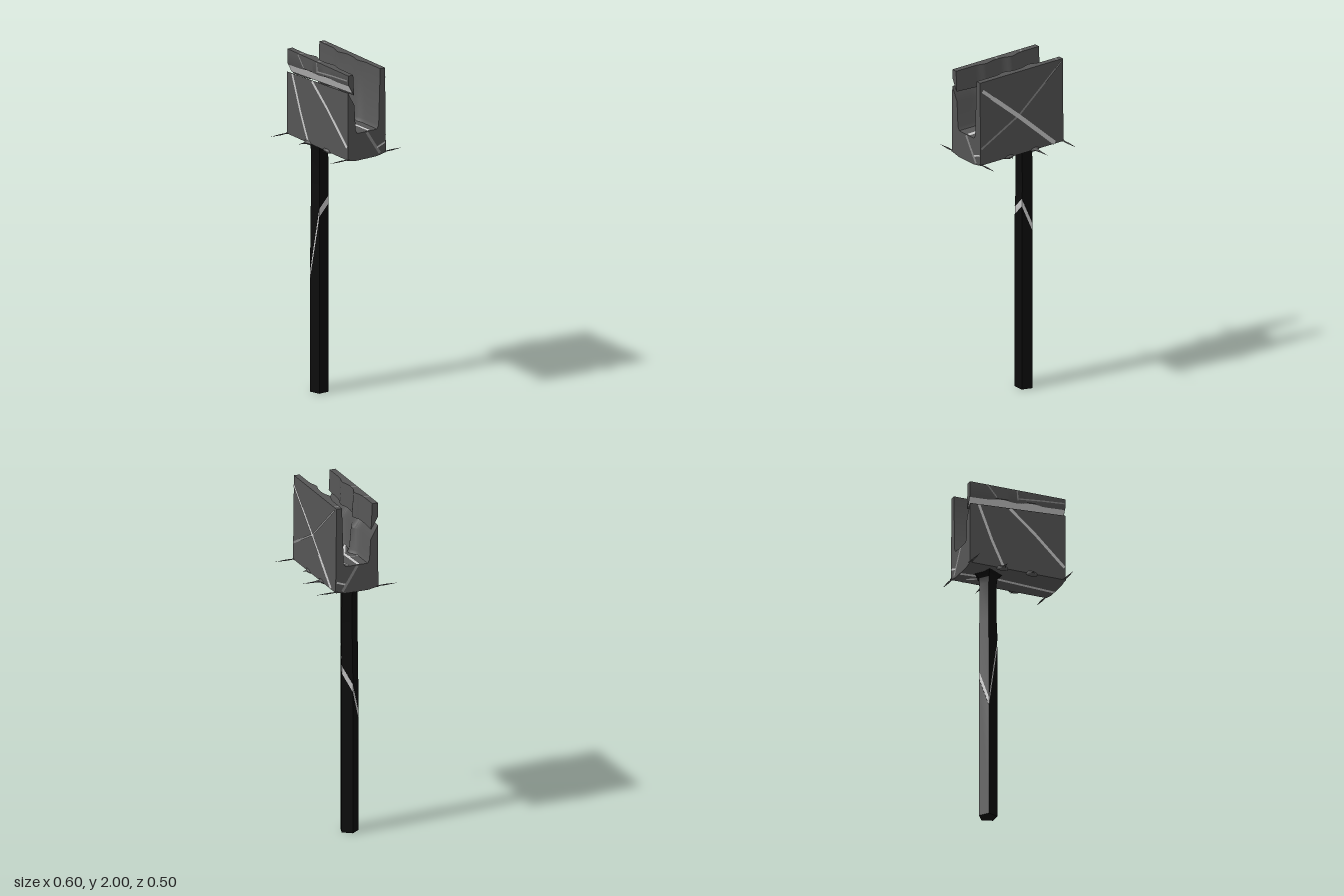
import * as THREE from 'three';
import { toCreasedNormals } from 'three/addons/utils/BufferGeometryUtils.js';

const stone = new THREE.MeshStandardMaterial({ color: 0x555555, side: THREE.DoubleSide });
const wood = new THREE.MeshStandardMaterial({ color: 0x0c0c0c, side: THREE.DoubleSide });
const vein = new THREE.MeshStandardMaterial({ color: 0xcccccc, side: THREE.DoubleSide });
const faintVein = new THREE.MeshStandardMaterial({ color: 0x888888, side: THREE.DoubleSide });
const V = (x, y, z) => new THREE.Vector3(x, y, z);

function part(group, name, geometry, material) {
  const mesh = new THREE.Mesh(geometry, material);
  mesh.name = name;
  group.add(mesh);
  return mesh;
}

// Solid through matching rings of points; cap is the 2D outline used to close both ends
function loft(rings, cap, crease = 0.6) {
  const n = rings[0].length, flat = rings.flat(), idx = [];
  for (let i = 0; i < rings.length - 1; i++) {
    for (let j = 0; j < n; j++) {
      const a = i * n + j, b = i * n + (j + 1) % n;
      idx.push(a, b, a + n, b, b + n, a + n);
    }
  }
  // Sorted corners follow the direction of the ring
  const end = (rings.length - 1) * n;
  for (const tri of THREE.ShapeUtils.triangulateShape(cap, [])) {
    const [a, b, c] = tri.sort((p, q) => p - q);
    idx.push(a, c, b, end + a, end + b, end + c);
  }
  // Turn the faces outward if the enclosed volume is negative
  let volume = 0;
  for (let k = 0; k < idx.length; k += 3) {
    volume += flat[idx[k]].dot(flat[idx[k + 1]].clone().cross(flat[idx[k + 2]]));
  }
  if (volume < 0) idx.reverse();
  const g = new THREE.BufferGeometry().setFromPoints(flat);
  g.setIndex(idx);
  return toCreasedNormals(g, crease);
}

// Flat strip along a path lying on a surface with the given normal
function ribbon(points, normal, width) {
  const pos = [], idx = [];
  points.forEach((p, i) => {
    const dir = points[Math.min(i + 1, points.length - 1)].clone().sub(points[Math.max(i - 1, 0)]);
    const side = normal.clone().cross(dir).normalize().multiplyScalar(width / 2);
    pos.push(p.clone().add(side), p.clone().sub(side));
    if (i) idx.push(2 * i - 2, 2 * i, 2 * i - 1, 2 * i - 1, 2 * i, 2 * i + 1);
  });
  const g = new THREE.BufferGeometry().setFromPoints(pos);
  g.setIndex(idx);
  g.computeVertexNormals();
  return g;
}

// Trough shape rules; s is 1 for the front wall and -1 for the back wall
const FLOOR = 1.648;
const bump = (x, c) => Math.exp(-(((x - c) / 0.04) ** 2));
const bulge = (x) => 0.02 * bump(x, -0.09) + 0.015 * bump(x, 0.09);
const crackY = (x) => 1.892 + 0.055 * x;
const rim = (x) => 0.093 - bulge(x);
const foot = (x, s) => s > 0 ? 0.076 - 1.6 * bulge(x) : 0.082 - 0.8 * bulge(x);
const innerZ = (x, y, s) => s * THREE.MathUtils.mapLinear(y, FLOOR, 2, foot(x, s), rim(x));

function loftAlongX(outline, steps = 48) {
  const rings = [];
  for (let i = 0; i <= steps; i++) {
    const x = -0.293 + 0.586 * i / steps;
    rings.push(outline(x).map(([z, y]) => V(x, y, z)));
  }
  return loft(rings, outline(-0.293).map(([z, y]) => new THREE.Vector2(z, y)));
}

function buildHead(head) {
  part(head, 'trough', loftAlongX((x) => {
    const c = crackY(x), f = foot(x, 1), b = -foot(x, -1);
    return [
      [0.13, 1.5], [0.128, c - 0.01], [innerZ(x, c - 0.09, 1), c - 0.09], [f, FLOOR + 0.02],
      [f - 0.012, FLOOR], [b + 0.012, FLOOR], [b, FLOOR + 0.02],
      [-rim(x), 2], [-0.126, 2], [-0.132, 1.5], [-0.07, 1.488], [0.07, 1.488],
    ];
  }), stone);
  part(head, 'brokenRim', loftAlongX((x) => {
    const c = crackY(x);
    return [[0.127, c + 0.04], [0.127, 2], [rim(x), 2], [innerZ(x, c - 0.03, 1), c - 0.03]];
  }), stone);
  // Pale broken face under the loose rim
  const lip = ribbon([-0.291, 0.291].map((x) => V(x, crackY(x) + 0.012, 0.113)), V(0, -0.45, 1).normalize(), 0.062);
  part(head, 'rimBreak', lip, vein);

  // Thin thorns with flared roots along both lower edges
  const thorns = [[-0.29, 0.122, 0.122], [-0.093, 0.07, 0.122], [0.087, 0.032, 0.034], [0.285, 0.122, 0.122]];
  for (const [x, frontLength, backLength] of thorns) {
    const wide = Math.abs(x) > 0.2 ? 0.012 : 0.038;
    for (const s of [1, -1]) {
      const len = s > 0 ? frontLength : backLength;
      const profile = [[wide, -0.008], [wide * 0.85, 0.003], [wide * 0.4, 0.01], [0.007, len * 0.4], [0, len]]
        .map(([r, h]) => new THREE.Vector2(r, h));
      const g = new THREE.LatheGeometry(profile, 8);
      g.scale(1, 1, 0.4).rotateX(s * Math.PI / 2);
      part(head, s > 0 ? 'frontThorn' : 'backThorn', g, stone).position.set(x, 1.502, s * 0.128);
    }
  }
}

function buildVeins(head) {
  const onFace = (name, list, toPoint, normal) => {
    for (const [width, material, ...pts] of list) {
      part(head, name, ribbon(pts.map(toPoint), normal, width), material);
    }
  };
  // Front wall, given as x, y
  onFace('frontVein', [
    [0.016, vein, [-0.24, 1.865], [-0.16, 1.66], [-0.085, 1.5]],
    [0.018, vein, [-0.05, 1.875], [0.1, 1.75], [0.285, 1.575]],
    [0.008, faintVein, [-0.185, 1.995], [-0.13, 1.93]],
    [0.008, faintVein, [-0.005, 1.995], [0, 1.935]],
    [0.008, faintVein, [0, 1.945], [0.15, 1.96], [0.285, 1.97]],
  ], ([x, y]) => V(x, y, 0.1315), V(0, 0, 1));
  // Back wall, crossing near the middle
  onFace('backVein', [
    [0.024, vein, [0.28, 1.95], [0.02, 1.73], [-0.23, 1.505]],
    [0.012, faintVein, [0.288, 1.6], [0.02, 1.74], [-0.28, 1.99]],
  ], ([x, y]) => V(x, y, -0.1335), V(0, 0, -1));
  // Open ends, given as z, y
  for (const s of [1, -1]) {
    onFace('endVein', [
      [0.016, faintVein, [0.0, 1.643], [-0.04, 1.58], [-0.09, 1.503]],
      [0.01, vein, [-0.07, 1.54], [-0.125, 1.56]],
    ], ([z, y]) => V(s * 0.2945, y, z), V(s, 0, 0));
  }
  // Underside, given as x, z
  onFace('undersideVein', [
    [0.022, vein, [-0.29, -0.01], [-0.1, 0.01], [0.29, -0.02]],
    [0.016, vein, [-0.085, 0.065], [-0.1, 0.01], [-0.23, -0.065]],
  ], ([x, z]) => V(x, 1.4865, z), V(0, -1, 0));
  // Channel floor, given as x, z
  onFace('channelVein', [
    [0.024, vein, [-0.29, 0.008], [0.29, -0.018]],
    [0.022, faintVein, [-0.14, 0.002], [-0.162, 0.03], [-0.166, 0.062]],
    [0.016, vein, [-0.095, 0.01], [0.025, 0.066]],
    [0.022, faintVein, [0.06, -0.015], [0.105, -0.045], [0.093, -0.06]],
    [0.01, vein, [-0.288, -0.046], [-0.22, -0.064], [-0.19, -0.069]],
  ], ([x, z]) => V(x, FLOOR + 0.003, z), V(0, 1, 0));
  // Wall tops, given as x, z
  onFace('rimVein', [
    [0.01, faintVein, [-0.17, 0.095], [-0.182, 0.124]],
    [0.01, faintVein, [-0.001, 0.096], [-0.01, 0.124]],
    [0.01, faintVein, [-0.257, -0.096], [-0.257, -0.122]],
  ], ([x, z]) => V(x, 2.001, z), V(0, 1, 0));
}

function buildPost(post) {
  // Five-sided ring; y is one height or one per corner
  const ring = (y, scale = 1, shift = 0) => Array.from({ length: 5 }, (_, i) => {
    const a = Math.PI + i * Math.PI * 0.4, r = 0.055 * scale;
    return V(-0.135 + r * Math.cos(a), Array.isArray(y) ? y[i] : y, 0.02 + shift - r * Math.sin(a));
  });
  const cap = ring(0).map((p) => new THREE.Vector2(p.x, p.z));
  // Ragged slanted break: left-hand edge, then round by the back or front corners
  const heightAt = (p) => p.x < -0.18 ? 0.87
    : p.x < -0.12 ? (p.z > 0.02 ? 0.69 : 0.98)
      : p.z > 0.02 ? 1.07 : 1.14;
  const split = (offset) => ring(0).map((p) => heightAt(p) + offset);
  part(post, 'lowerPost', loft([ring(0), ring(split(-0.025))], cap, 0.3), wood);
  part(post, 'upperPost', loft([ring(split(0.025)), ring(1.2, 0.94, -0.003), ring(1.43, 0.92, -0.002),
    ring(1.465, 1), ring(1.482, 1.3), ring(1.497, 1.75)], cap, 0.3), wood);
  // Pale core showing in the break
  part(post, 'postBreak', loft([ring(split(-0.027), 0.97), ring(split(0.027), 0.97)], cap), vein);
}

export function createModel() {
  const model = new THREE.Group();
  model.name = 'crackedHammer';
  const head = new THREE.Group();
  head.name = 'head';
  const post = new THREE.Group();
  post.name = 'handle';
  buildHead(head);
  buildVeins(head);
  buildPost(post);
  model.add(head, post);
  return model;
}
